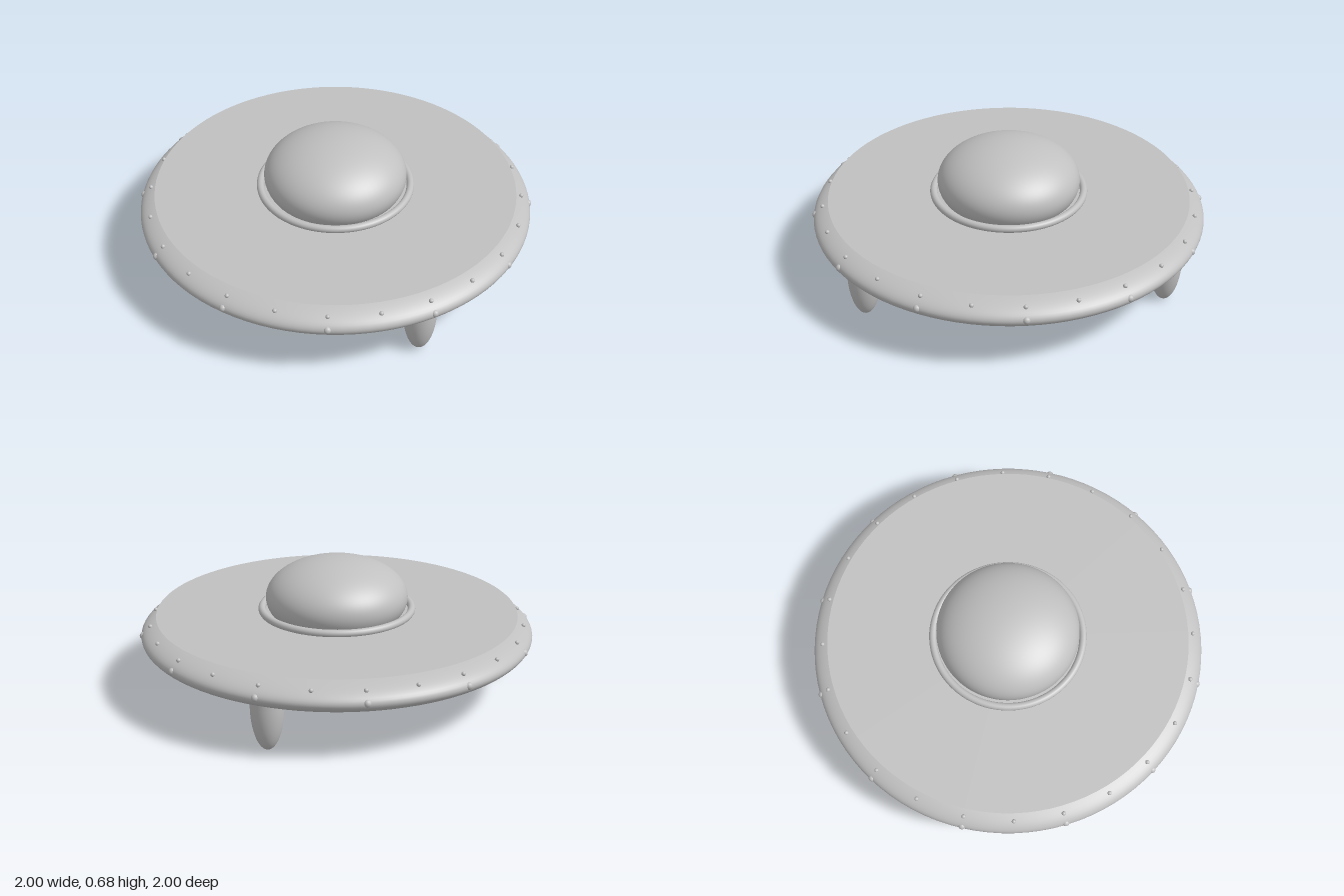
import * as THREE from 'three';

export function createModel() {
  const saucer = new THREE.Group();
  saucer.name = 'saucer';
  const grey = new THREE.MeshStandardMaterial({ color: 0xc0c0c0 });
  grey.name = 'grey metal';
  const greyThin = grey.clone();
  greyThin.side = THREE.DoubleSide;

  const add = (name, geometry, material = grey, parent = saucer) => {
    const mesh = new THREE.Mesh(geometry, material);
    mesh.name = name;
    parent.add(mesh);
    return mesh;
  };

  // Hull: shallow belly recess, then a flattened elliptical rim
  const midY = 0.305, ringR = 0.665, halfW = 0.327, halfH = 0.096;
  const profile = [[0, 0.224], [0.3, 0.224], [0.338, 0.223], [0.347, 0.216], [0.358, 0.21], [0.39, 0.209], [0.5, 0.209]]
    .map(([r, y]) => new THREE.Vector2(r, y));
  const rimPoint = (a) => new THREE.Vector2(ringR + halfW * Math.cos(a), midY + halfH * Math.sin(a));
  for (let i = 0; i <= 32; i++) profile.push(rimPoint(-Math.PI / 2 + (i / 32) * Math.PI));
  add('hull', new THREE.LatheGeometry(profile, 96), greyThin);

  // Flat deck plate
  const deck = new THREE.CircleGeometry(0.915, 96);
  deck.rotateX(-Math.PI / 2);
  deck.translate(0, 0.402, 0);
  add('deck', deck, greyThin);

  // Dome and its collar
  const dome = new THREE.SphereGeometry(1, 64, 32, 0, Math.PI * 2, 0, Math.PI * 0.64);
  dome.scale(0.36, 0.2, 0.36);
  dome.translate(0, 0.475, 0);
  add('dome', dome);
  const collar = new THREE.TorusGeometry(0.38, 0.019, 16, 96);
  collar.rotateX(Math.PI / 2);
  collar.translate(0, 0.415, 0);
  add('domeCollar', collar);

  // Three rounded landing legs
  const legProfile = [];
  for (let i = 0; i <= 16; i++) {
    const a = (i / 16) * Math.PI / 2;
    legProfile.push(new THREE.Vector2(0.08 * Math.sin(a), 0.22 - 0.22 * Math.cos(a)));
  }
  legProfile.push(new THREE.Vector2(0.08, 0.3));
  const legGeometry = new THREE.LatheGeometry(legProfile, 32);
  for (let i = 0; i < 3; i++) {
    const a = (i / 3) * Math.PI * 2;
    add('leg', legGeometry).position.set(0.855 * Math.sin(a), 0, 0.855 * Math.cos(a));
  }

  // Two rows of rivets around the rim
  const rivetRow = (name, count, radius, y, size) => {
    const row = new THREE.Group();
    row.name = name;
    const geometry = new THREE.SphereGeometry(size, 12, 8);
    for (let i = 0; i < count; i++) {
      const a = (i / count) * Math.PI * 2;
      add('rivet', geometry, grey, row).position.set(radius * Math.sin(a), y, radius * Math.cos(a));
    }
    saucer.add(row);
  };
  rivetRow('upperRivets', 24, 0.945, 0.358, 0.011);
  rivetRow('sideRivets', 12, 0.981, 0.31, 0.019);

  return saucer;
}
